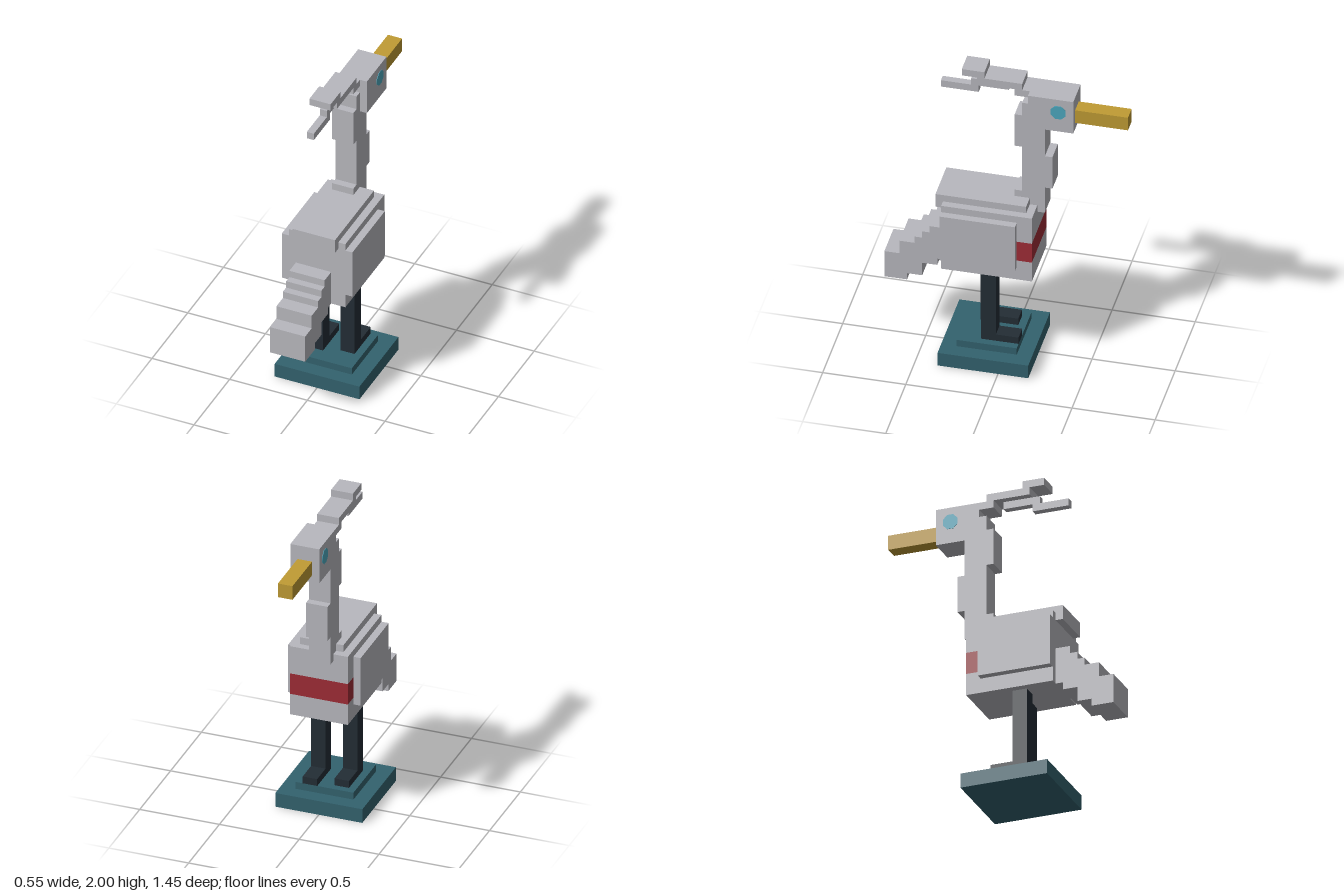
import * as THREE from 'three';

// Everything sits on a block grid, 22 cells per unit
const U = 1 / 22;

function mat(name, color) {
  const m = new THREE.MeshStandardMaterial({ color });
  m.name = name;
  return m;
}

export function createModel() {
  const plumage = mat('plumage grey', 0xb8b8be);
  const teal = mat('base teal', 0x33626e);
  const dark = mat('leg dark', 0x232d35);
  const red = mat('band red', 0x9e2c36);
  const gold = mat('beak gold', 0xc09c34);
  const blue = mat('eye blue', 0x4ca8be);

  const model = new THREE.Group();
  model.name = 'wadingBird';

  const group = (name) => {
    const g = new THREE.Group();
    g.name = name;
    model.add(g);
    return g;
  };

  // Box from min/max grid ranges on x, y and z
  const block = (parent, name, material, [x0, x1], [y0, y1], [z0, z1]) => {
    const geo = new THREE.BoxGeometry((x1 - x0) * U, (y1 - y0) * U, (z1 - z0) * U);
    const mesh = new THREE.Mesh(geo, material);
    mesh.name = name;
    mesh.position.set((x0 + x1) * U / 2, (y0 + y1) * U / 2, (z0 + z1) * U / 2);
    parent.add(mesh);
    return mesh;
  };

  // Stepped base
  const base = group('base');
  block(base, 'baseSlab', teal, [-6, 6], [0, 2], [-4, 8]);
  block(base, 'baseStep', teal, [-4, 4], [2, 3], [-2, 6]);

  // Legs and feet, one set a cell further back
  const legs = group('legs');
  for (const [side, x, z] of [['left', 1, 1], ['right', -3, 2]]) {
    block(legs, side + 'Leg', dark, [x, x + 2], [3, 14], [z, z + 2]);
    block(legs, side + 'Foot', dark, [x, x + 2], [3, 4], [z - 3, z]);
  }

  // Body with a red band around the breast
  const body = group('body');
  block(body, 'bodyRear', plumage, [-4, 4], [14, 24], [-2, 8]);
  block(body, 'breastLower', plumage, [-4, 4], [14, 17], [-4, -2]);
  block(body, 'breastBand', red, [-4, 4], [17, 20], [-4, -2]);
  block(body, 'breastUpper', plumage, [-4, 4], [20, 24], [-4, -2]);
  block(body, 'backPlate', plumage, [-3, 3], [23, 25], [-3, 9]);
  block(body, 'leftWing', plumage, [4, 5], [16, 23], [-2, 8]);
  block(body, 'rightWing', plumage, [-5, -4], [16, 23], [-2, 8]);

  // Tail steps: z start, z end, bottom, top
  const tail = group('tail');
  [
    [8, 9, 14, 19], [9, 10, 13, 19], [10, 11, 13, 18], [11, 12, 11, 17],
    [12, 13, 11, 16], [13, 14, 10, 16], [14, 16, 10, 14],
  ].forEach(([z0, z1, y0, y1], i) =>
    block(tail, 'tailStep' + (i + 1), plumage, [-3, 2], [y0, y1], [z0, z1]));

  // Neck with offset bulges
  const neck = group('neck');
  const w = [-2, 1];
  block(neck, 'neckColumn', plumage, w, [23, 40], [-5, -2]);
  block(neck, 'neckFoot', plumage, w, [25, 26], [-2, -1]);
  block(neck, 'throatBulge', plumage, w, [27, 32], [-6, -5]);
  block(neck, 'napeBulge', plumage, w, [33, 38], [-2, -1]);

  // Head, beak and eyes
  const head = group('head');
  block(head, 'skull', plumage, [-2, 2], [37, 42], [-9, -3]);
  block(head, 'beak', gold, [-1, 1], [38, 40], [-16, -9]);
  const eyeGeo = new THREE.CylinderGeometry(1.08 * U, 1.08 * U, 0.006, 8);
  eyeGeo.rotateY(Math.PI / 8).rotateZ(Math.PI / 2);
  for (const s of [1, -1]) {
    const eye = new THREE.Mesh(eyeGeo, blue);
    eye.name = s > 0 ? 'leftEye' : 'rightEye';
    eye.position.set(s * 2 * U, 40 * U, -7 * U);
    head.add(eye);
  }

  // Crest plumes trailing behind the head
  const crest = group('crest');
  block(crest, 'crestRoot', plumage, w, [41, 42], [-3, -1]);
  block(crest, 'crestMiddle', plumage, w, [42, 43], [-2, 4]);
  block(crest, 'crestTip', plumage, w, [43, 44], [3, 6]);
  block(crest, 'plumeUpper', plumage, [-1, 0], [41, 42], [0, 5]);
  block(crest, 'plumeLower', plumage, [-1, 0], [40, 41], [4, 9]);

  return model;
}
